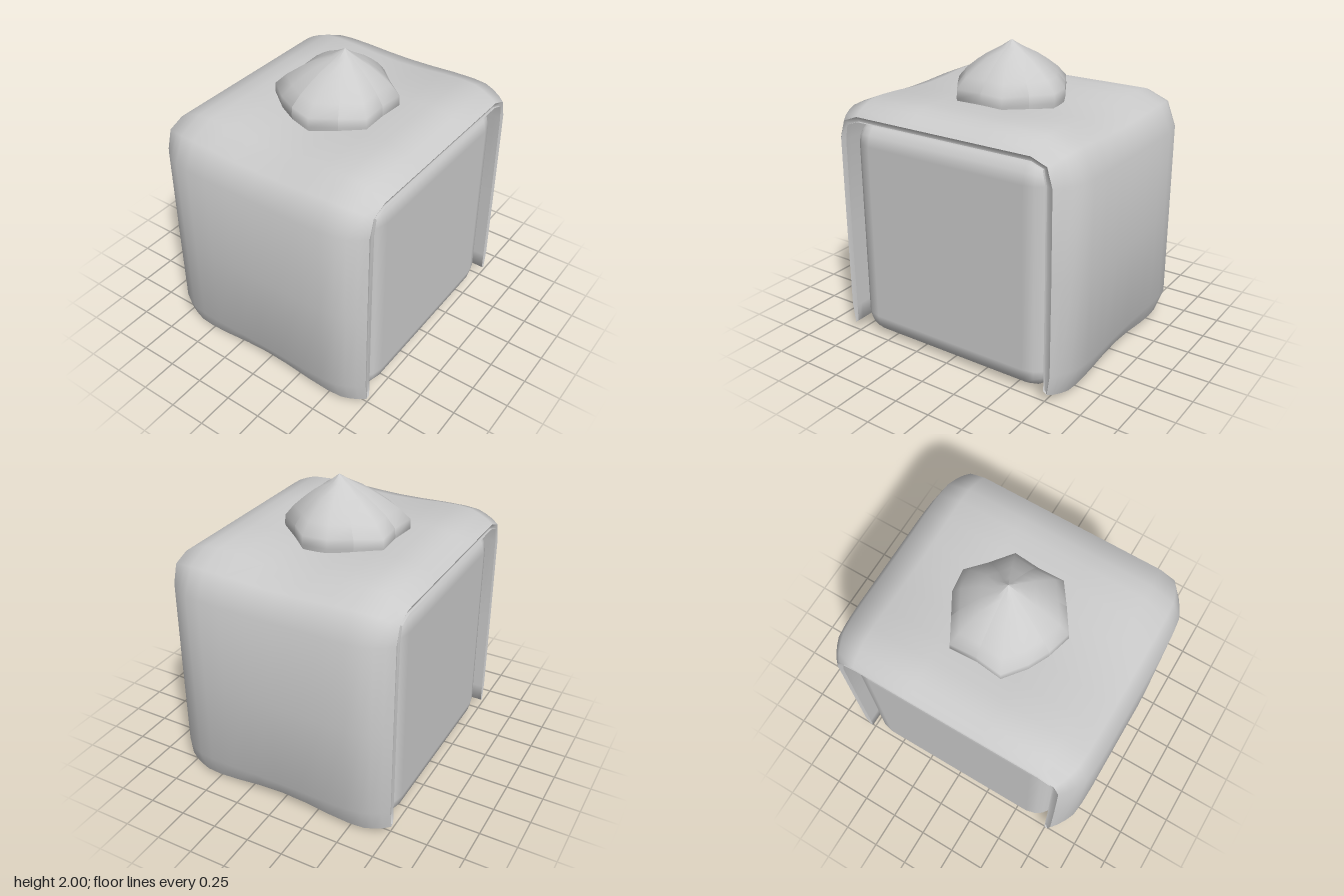
import * as THREE from 'three';
import { toCreasedNormals } from 'three/addons/utils/BufferGeometryUtils.js';
import { RoundedBoxGeometry } from 'three/addons/geometries/RoundedBoxGeometry.js';

const material = new THREE.MeshStandardMaterial({ color: 0xcccccc });

function buildGeometry(positions, index) {
  const geo = new THREE.BufferGeometry();
  geo.setAttribute('position', new THREE.Float32BufferAttribute(positions, 3));
  geo.setIndex(index);
  geo.computeVertexNormals();
  return geo;
}

function addMesh(parent, name, geometry) {
  const mesh = new THREE.Mesh(geometry, material);
  mesh.name = name;
  parent.add(mesh);
  return mesh;
}

// Thick icing sheet draped over the top and both sides, swept along a U path.
function icingGeometry() {
  // inner x, inner y, outer x, outer y, lift at mid depth, sag at mid depth
  const half = [
    [0.75, 0.08, 0.84, 0.02, 0.05, 0],
    [0.75, 0.20, 0.91, 0.20, 0.01, 0],
    [0.75, 0.80, 0.91, 0.80, 0, 0],
    [0.745, 1.40, 0.91, 1.40, 0, 0],
    [0.725, 1.50, 0.83, 1.58, 0, 0.02],
    [0.64, 1.53, 0.66, 1.652, 0, 0.035],
    [0.25, 1.53, 0.25, 1.652, 0, 0.035],
  ];
  const path = [...half, ...half.slice().reverse().map(([a, b, c, ...rest]) => [-a, b, -c, ...rest])];
  // rounded rim: depth z against fraction of thickness
  const rim = [[0.75, 0.08], [0.765, 0.27], [0.72, 0.52], [0.66, 0.74], [0.6, 0.9], [0.5, 0.97], [0.35, 1], [0.17, 1]];
  const outer = [...rim.map(([z, t]) => [-z, t]), [0, 1], ...rim.slice().reverse()];
  const ring = [...outer, ...outer.slice().reverse().map(([z]) => [z, 0])];
  const n = ring.length;
  const positions = [], index = [];

  for (const [ix, iy, ox, oy, lift, sag] of path) {
    for (const [z, t] of ring) {
      const wave = Math.abs(z) < 0.6 ? Math.cos((Math.PI * z) / 1.2) ** 2 : 0;
      positions.push(ix + (ox - ix) * t, iy + (oy - iy) * t + wave * (lift - sag * t), z);
    }
  }
  for (let i = 0; i < path.length - 1; i++) {
    for (let j = 0; j < n; j++) {
      const a = i * n + j, c = i * n + (j + 1) % n;
      index.push(a, a + n, c, a + n, c + n, c);
    }
  }
  // lower edges of the two hanging sides
  const last = (path.length - 1) * n;
  for (let j = 0; j < outer.length - 1; j++) {
    const k = n - 1 - j;
    index.push(j, j + 1, k, j + 1, k - 1, k);
    index.push(last + j, last + k, last + j + 1, last + j + 1, last + k, last + k - 1);
  }
  return toCreasedNormals(buildGeometry(positions, index), 1.0);
}

// One lobe of piped cream: a strip of outline points shrinking up to the tip.
function lobeGeometry(outline) {
  const tip = [0.02, 0.02];
  const profile = [[1.57, 0.95], [1.65, 1], [1.71, 0.99], [1.78, 0.83], [1.84, 0.64], [1.89, 0.46], [1.95, 0.19], [2, 0]];
  const n = outline.length, positions = [], index = [];
  for (const [y, s] of profile) {
    for (const [x, z] of outline) {
      positions.push(tip[0] + (x - tip[0]) * s, y, tip[1] + (z - tip[1]) * s);
    }
  }
  for (let i = 0; i < profile.length - 1; i++) {
    for (let j = 0; j < n - 1; j++) {
      const a = i * n + j;
      index.push(a, a + n, a + 1, a + 1, a + n, a + n + 1);
    }
  }
  return buildGeometry(positions, index);
}

export function createModel() {
  const model = new THREE.Group();
  model.name = 'cubeCake';

  // Soft-edged cake block
  const cake = addMesh(model, 'cakeBlock', new RoundedBoxGeometry(1.48, 1.53, 1.49, 2, 0.16));
  cake.position.y = 0.765;

  addMesh(model, 'icingSheet', icingGeometry());

  // Cream swirl: notch, crest points, notch for each lobe (x, z)
  const cream = new THREE.Group();
  cream.name = 'creamDollop';
  model.add(cream);
  const notches = [[0.28, -0.22], [0.27, 0.2], [-0.01, 0.325], [-0.29, 0.19], [-0.345, -0.12], [0.01, -0.37]];
  const crests = [
    [[0.36, -0.08], [0.38, 0.08]],
    [[0.16, 0.34]],
    [[-0.19, 0.33]],
    [[-0.39, 0.04]],
    [[-0.28, -0.25], [-0.17, -0.39]],
    [[0.19, -0.38]],
  ];
  crests.forEach((crest, i) => {
    addMesh(cream, `creamLobe${i + 1}`, lobeGeometry([notches[i], ...crest, notches[(i + 1) % 6]]));
  });

  return model;
}
